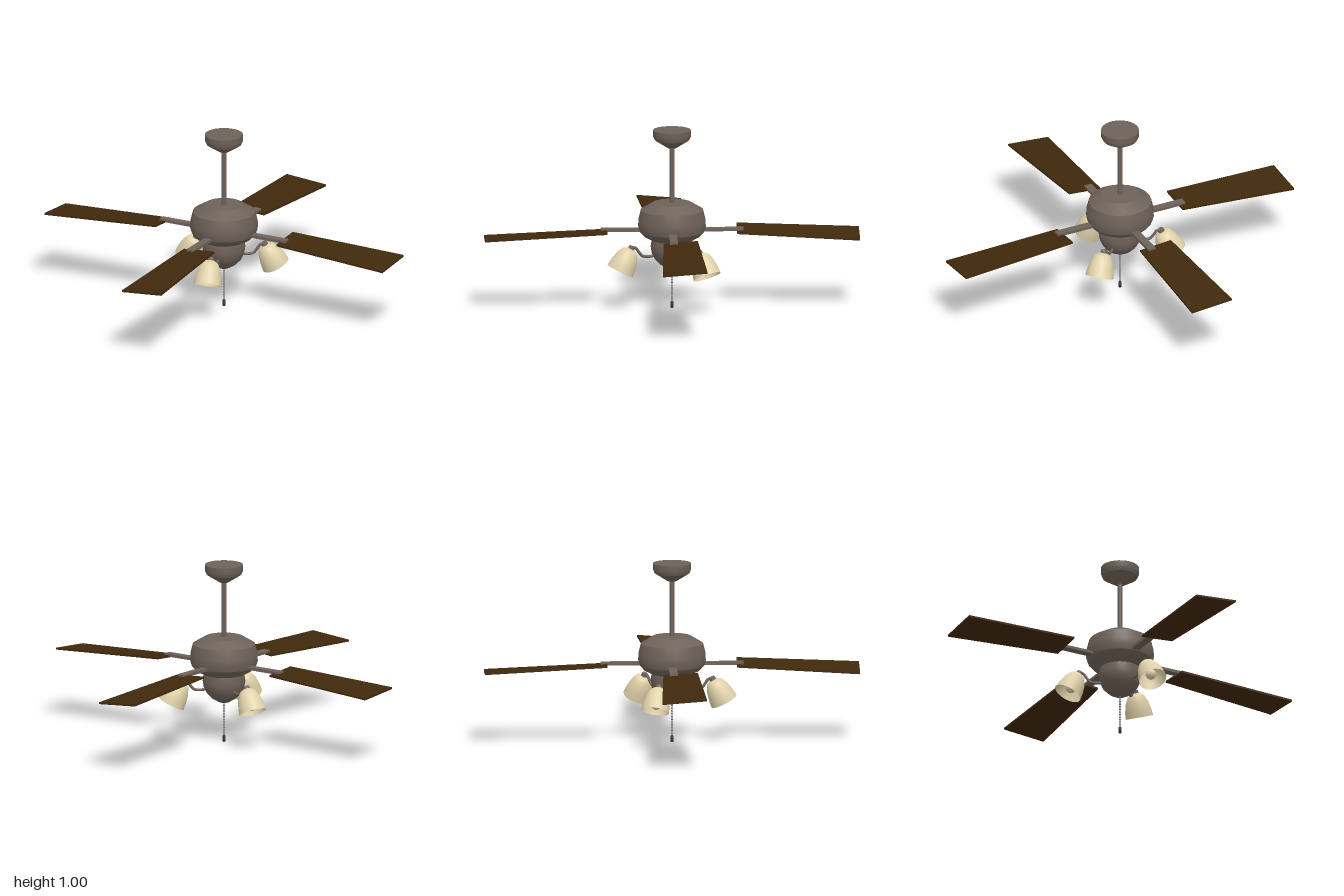
import * as THREE from 'three';
import { toCreasedNormals } from 'three/addons/utils/BufferGeometryUtils.js';

const material = (name, color, side = THREE.FrontSide) => {
  const m = new THREE.MeshStandardMaterial({ color, side });
  m.name = name;
  return m;
};

export function createModel() {
  const bronze = material('bronze metal', 0x6e6259);
  const wood = material('dark wood', 0x40290c);
  const glass = material('cream glass', 0xe0d2aa, THREE.DoubleSide);
  const silver = material('chain silver', 0x858390);
  const dark = material('dark knob', 0x3a322c);

  const fan = new THREE.Group();
  fan.name = 'ceilingFan';

  const add = (parent, name, geometry, mat, x = 0, y = 0, z = 0) => {
    const mesh = new THREE.Mesh(geometry, mat);
    mesh.name = name;
    mesh.position.set(x, y, z);
    parent.add(mesh);
    return mesh;
  };
  // Profiles run from bottom to top as [radius, height]
  const lathe = (points, sides = 28, crease = 0.45) => toCreasedNormals(
    new THREE.LatheGeometry(points.map(([r, y]) => new THREE.Vector2(r, y)), sides), crease);

  // Ceiling mount, rod and housings
  add(fan, 'canopy', lathe([[0, 0.9], [0.025, 0.9], [0.096, 0.945], [0.105, 0.965], [0.105, 1], [0, 1]]), bronze);
  add(fan, 'downrod', new THREE.CylinderGeometry(0.014, 0.014, 0.34, 16), bronze, 0, 0.74, 0);
  add(fan, 'motorHousing', lathe([
    [0, 0.382], [0.11, 0.382], [0.155, 0.405], [0.178, 0.43], [0.187, 0.46],
    [0.186, 0.495], [0.172, 0.552], [0.105, 0.592], [0, 0.592],
  ]), bronze);
  add(fan, 'lightKitBowl', lathe([
    [0, 0.22], [0.03, 0.225], [0.065, 0.245], [0.095, 0.275],
    [0.112, 0.31], [0.118, 0.345], [0.112, 0.385],
  ]), bronze);

  // Tapered, drooping and slightly pitched blade
  const lerp = THREE.MathUtils.lerp;
  const bladeGeometry = new THREE.BoxGeometry(1, 0.011, 1);
  const p = bladeGeometry.attributes.position;
  for (let i = 0; i < p.count; i++) {
    const t = p.getX(i) + 0.5, s = p.getZ(i) + 0.5;
    const v = lerp(lerp(-0.132, -0.165, t), lerp(0.057, 0.081, t), s);
    p.setXYZ(i, lerp(0.358, 1.034, t), p.getY(i) + lerp(0.437, 0.403, t) - 0.08 * (v + 0.04), v);
  }
  bladeGeometry.computeVertexNormals();

  for (let i = 0; i < 4; i++) {
    const arm = new THREE.Group();
    arm.name = 'bladeAssembly';
    arm.rotation.y = THREE.MathUtils.degToRad(20 + 90 * i);
    add(arm, 'blade', bladeGeometry, wood);
    add(arm, 'bladeBracket', new THREE.BoxGeometry(0.25, 0.016, 0.044), bronze, 0.268, 0.441, 0);
    fan.add(arm);
  }

  // Three curved arms carrying bell shades
  const armCurve = new THREE.CatmullRomCurve3([
    [0.09, 0.3], [0.125, 0.294], [0.165, 0.298], [0.187, 0.322], [0.205, 0.345], [0.228, 0.348],
  ].map(([x, y]) => new THREE.Vector3(x, y, 0)));
  const armGeometry = new THREE.TubeGeometry(armCurve, 20, 0.008, 8);
  const shadeGeometry = lathe([
    [0.078, -0.135], [0.073, -0.095], [0.062, -0.05], [0.045, -0.015], [0.022, 0], [0, 0],
  ], 16, 0.6);

  for (let i = 0; i < 3; i++) {
    const light = new THREE.Group();
    light.name = 'lightAssembly';
    light.rotation.y = THREE.MathUtils.degToRad(60 + 120 * i);
    add(light, 'lightArm', armGeometry, bronze);
    const lamp = new THREE.Group();
    lamp.name = 'lamp';
    lamp.position.set(0.23, 0.34, 0);
    lamp.rotation.z = THREE.MathUtils.degToRad(27);
    add(lamp, 'socket', new THREE.CylinderGeometry(0.016, 0.02, 0.022, 12), bronze, 0, 0.006, 0);
    add(lamp, 'shade', shadeGeometry, glass);
    add(lamp, 'bulb', new THREE.SphereGeometry(0.03, 14, 10), glass, 0, -0.095, 0);
    add(lamp, 'bulbNeck', new THREE.CylinderGeometry(0.014, 0.02, 0.07, 12), glass, 0, -0.04, 0);
    light.add(lamp);
    fan.add(light);
  }

  // Beaded pull chain with end knob
  add(fan, 'chainCord', new THREE.CylinderGeometry(0.002, 0.002, 0.2, 6), silver, 0, 0.13, 0);
  const bead = new THREE.SphereGeometry(0.0055, 8, 6);
  for (let i = 0; i < 12; i++) add(fan, 'chainBead', bead, silver, 0, 0.05 + i * 0.0155, 0);
  add(fan, 'chainKnob', lathe([[0, 0], [0.007, 0], [0.009, 0.006], [0.009, 0.03], [0.005, 0.038], [0, 0.038]], 12), dark);

  return fan;
}
